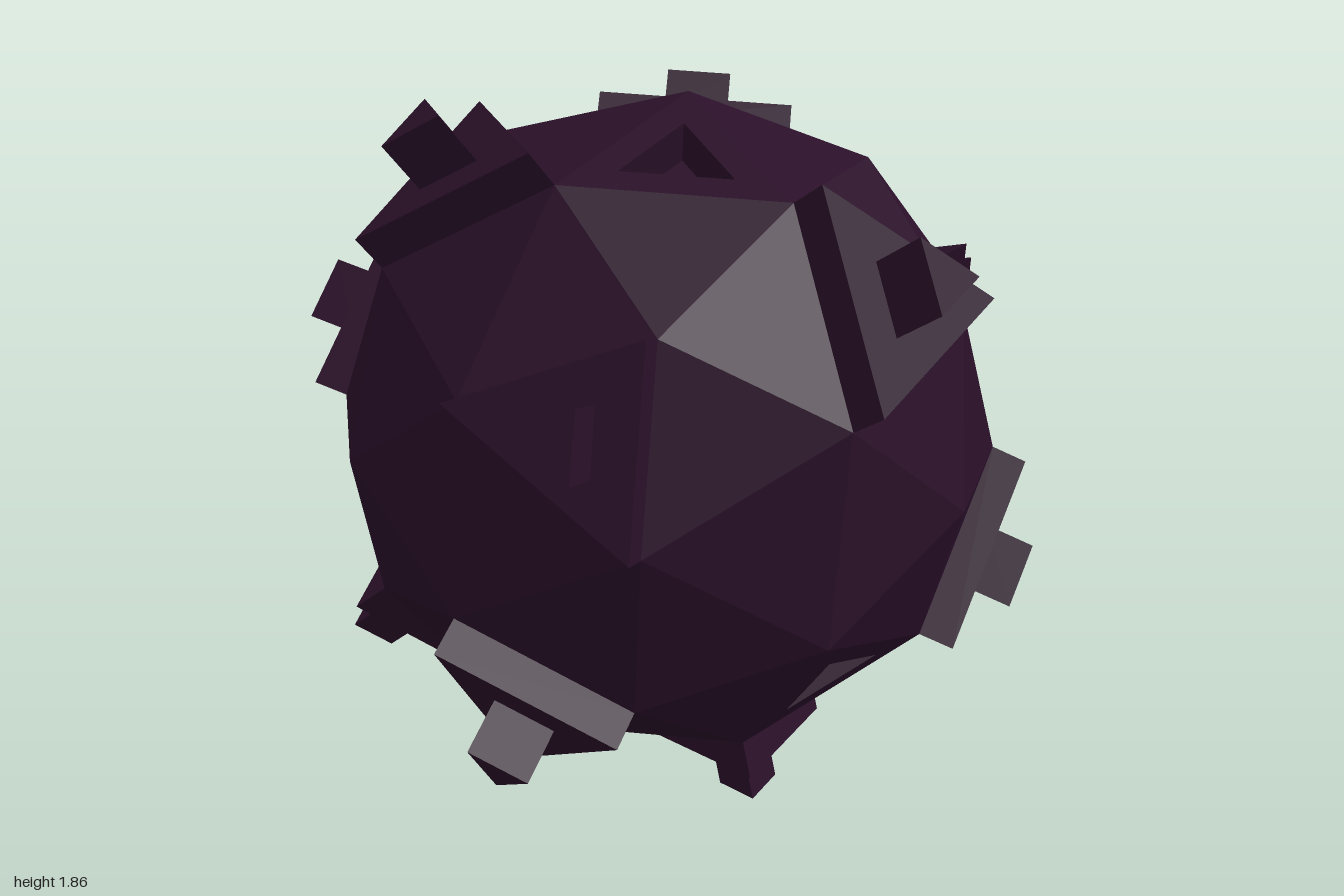
import * as THREE from 'three';

const R = 0.845, PLATE = 0.095, NUB = 0.135, PIT = 0.1;

// Approximate directions of the faces that carry a raised plate with a nub
const RAISED = [
  [-0.167, 0.278, 0.887], [-0.27, -0.548, 0.72], [-0.715, -0.617, 0],
  [-0.887, 0.167, -0.278], [-0.548, 0.72, 0.27], [0.577, 0.577, 0.577],
  [0.72, 0.27, -0.548], [0.934, -0.357, 0], [0.278, -0.887, 0.167],
  [0, 0.715, -0.617], [-0.167, -0.278, -0.887],
];
// Faces that carry a triangular pit
const SUNKEN = [
  [0, 0.934, 0.357], [0.577, -0.577, 0.577],
  [0.167, 0.278, -0.887], [-0.278, -0.887, -0.167],
];

const centroid = (f) => f[0].clone().add(f[1]).add(f[2]).divideScalar(3);
const normalOf = (f) => new THREE.Triangle(...f).getNormal(new THREE.Vector3());
const inset = (f, s) => { const c = centroid(f); return f.map((p) => p.clone().sub(c).multiplyScalar(s).add(c)); };
const shift = (f, n, d) => f.map((p) => p.clone().addScaledVector(n, d));

// Band of quads joining two triangles corner to corner
function band(out, a, b) {
  for (let i = 0; i < 3; i++) {
    const j = (i + 1) % 3;
    out.push(a[i], a[j], b[j], a[i], b[j], b[i]);
  }
}

function prism(out, base, n, height) {
  const top = shift(base, n, height);
  band(out, base, top);
  out.push(...top);
  return top;
}

function meshFrom(points, material, name) {
  const geometry = new THREE.BufferGeometry().setFromPoints(points);
  geometry.computeVertexNormals();
  const mesh = new THREE.Mesh(geometry, material);
  mesh.name = name;
  return mesh;
}

export function createModel() {
  const shell = new THREE.MeshStandardMaterial({ color: 0x2a1029 });
  shell.name = 'dark plum';

  // Faceted sphere split into its single triangles
  const pos = new THREE.IcosahedronGeometry(R, 1).getAttribute('position');
  const faces = [];
  for (let i = 0; i < pos.count; i += 3) {
    faces.push([0, 1, 2].map((k) => new THREE.Vector3().fromBufferAttribute(pos, i + k)));
  }
  const nearest = (d) => {
    const dir = new THREE.Vector3(...d).normalize();
    const score = (f) => centroid(f).normalize().dot(dir);
    return faces.reduce((best, f) => (score(f) > score(best) ? f : best));
  };
  const raised = new Set(RAISED.map(nearest));
  const sunken = new Set(SUNKEN.map(nearest));

  const ball = new THREE.Group();
  ball.name = 'ball';
  const body = [], pits = [];

  for (const f of faces) {
    const n = normalOf(f);
    if (raised.has(f)) {
      // Raised plate with a small triangular nub on top
      const plate = [], nub = [];
      const top = prism(plate, f, n, PLATE);
      prism(nub, inset(top, 1 / 3), n, NUB);
      ball.add(meshFrom(plate, shell, 'plate'), meshFrom(nub, shell, 'nub'));
    } else if (sunken.has(f)) {
      // Rim around a triangular pit
      const hole = inset(f, 0.5);
      band(body, f, hole);
      prism(pits, hole, n, -PIT);
    } else {
      body.push(...f);
    }
  }
  ball.add(meshFrom(body, shell, 'body'), meshFrom(pits, shell, 'pits'));

  ball.rotation.z = -0.061;
  ball.position.y = 1.015;
  const model = new THREE.Group();
  model.name = 'studdedBall';
  model.add(ball);
  return model;
}
